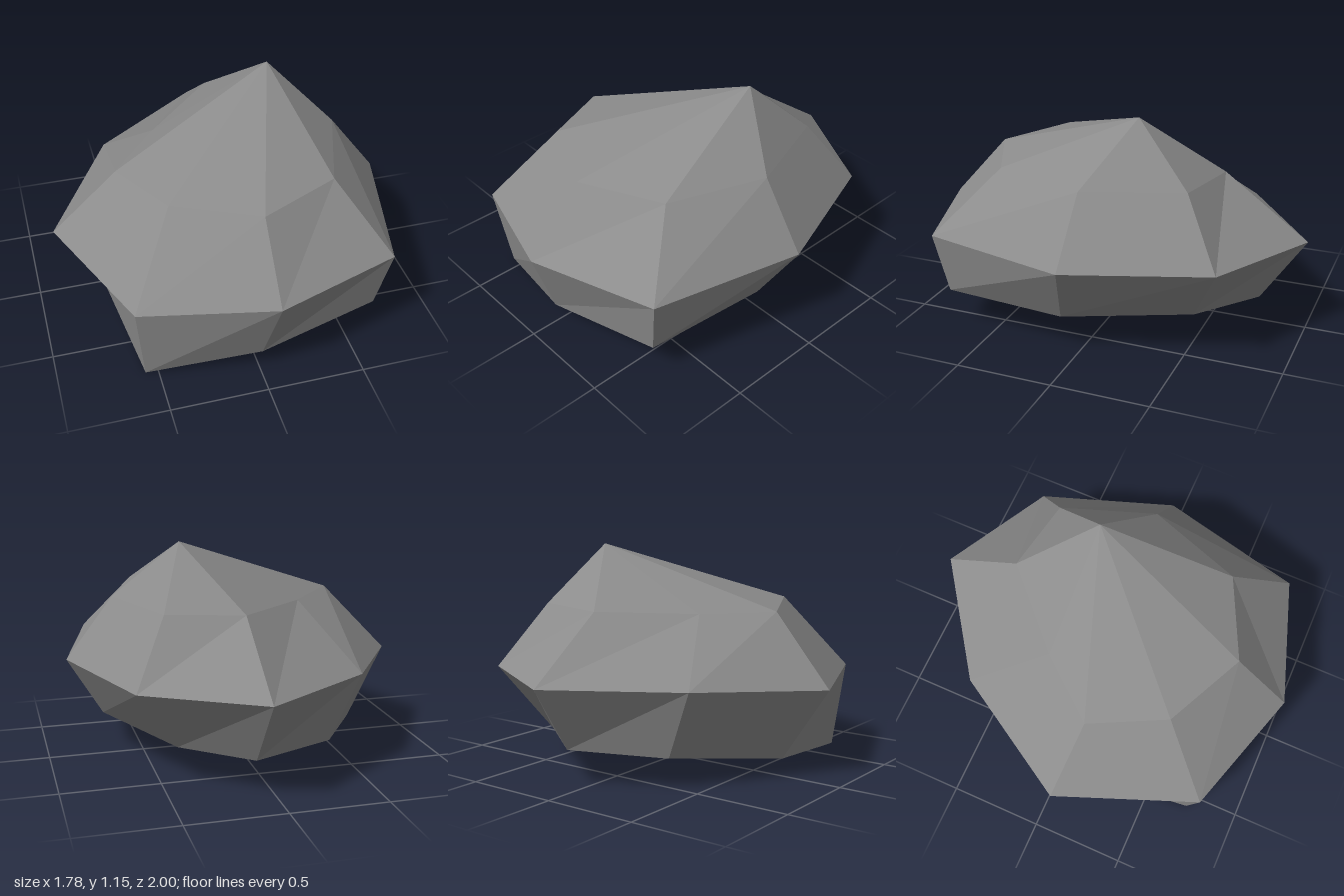
import * as THREE from 'three';

// Horizontal cross-sections [x, y, z], each running back, +x, front, -x
const crown = [0.33, 1.15, -0.19];
const base = [0.05, 0.045, 0.04];
const lower = [
  [0.09, 0.18, -0.77], [0.42, 0.19, -0.52], [0.70, 0.20, 0.08], [0.64, 0.20, 0.74],
  [0.01, 0.12, 0.855], [-0.565, 0, 0.73], [-0.67, 0.09, 0], [-0.36, 0.16, -0.54],
];
const middle = [
  [0.08, 0.52, -1], [0.645, 0.525, -0.69], [0.89, 0.525, 0.01], [0.705, 0.525, 0.785],
  [0.05, 0.52, 1], [-0.61, 0.455, 0.79], [-0.895, 0.46, 0.065], [-0.51, 0.51, -0.585],
];
const upper = [
  [0.085, 0.84, -0.565], [0.47, 0.85, -0.49], [0.645, 0.85, 0], [0.47, 0.85, 0.5],
  [0.05, 0.85, 0.70], [-0.37, 0.85, 0.5], [-0.555, 0.82, 0.115], [-0.295, 0.82, -0.2],
];

export function createModel() {
  const stone = new THREE.MeshStandardMaterial({ color: 0x8c8c8c });
  stone.name = 'stone grey';
  stone.flatShading = true;

  const points = [];
  const tri = (a, b, c) => points.push(...a, ...b, ...c);

  for (let i = 0; i < 8; i++) {
    const j = (i + 1) % 8;
    // Side bands
    for (const [low, high] of [[lower, middle], [middle, upper]]) {
      tri(low[j], low[i], high[i]);
      tri(low[j], high[i], high[j]);
    }
    // Top and underside fans
    tri(upper[j], upper[i], crown);
    tri(lower[i], lower[j], base);
  }

  const geometry = new THREE.BufferGeometry();
  geometry.setAttribute('position', new THREE.Float32BufferAttribute(points, 3));
  geometry.computeVertexNormals();

  const rock = new THREE.Mesh(geometry, stone);
  rock.name = 'rock';
  const group = new THREE.Group();
  group.name = 'boulder';
  group.add(rock);
  return group;
}
